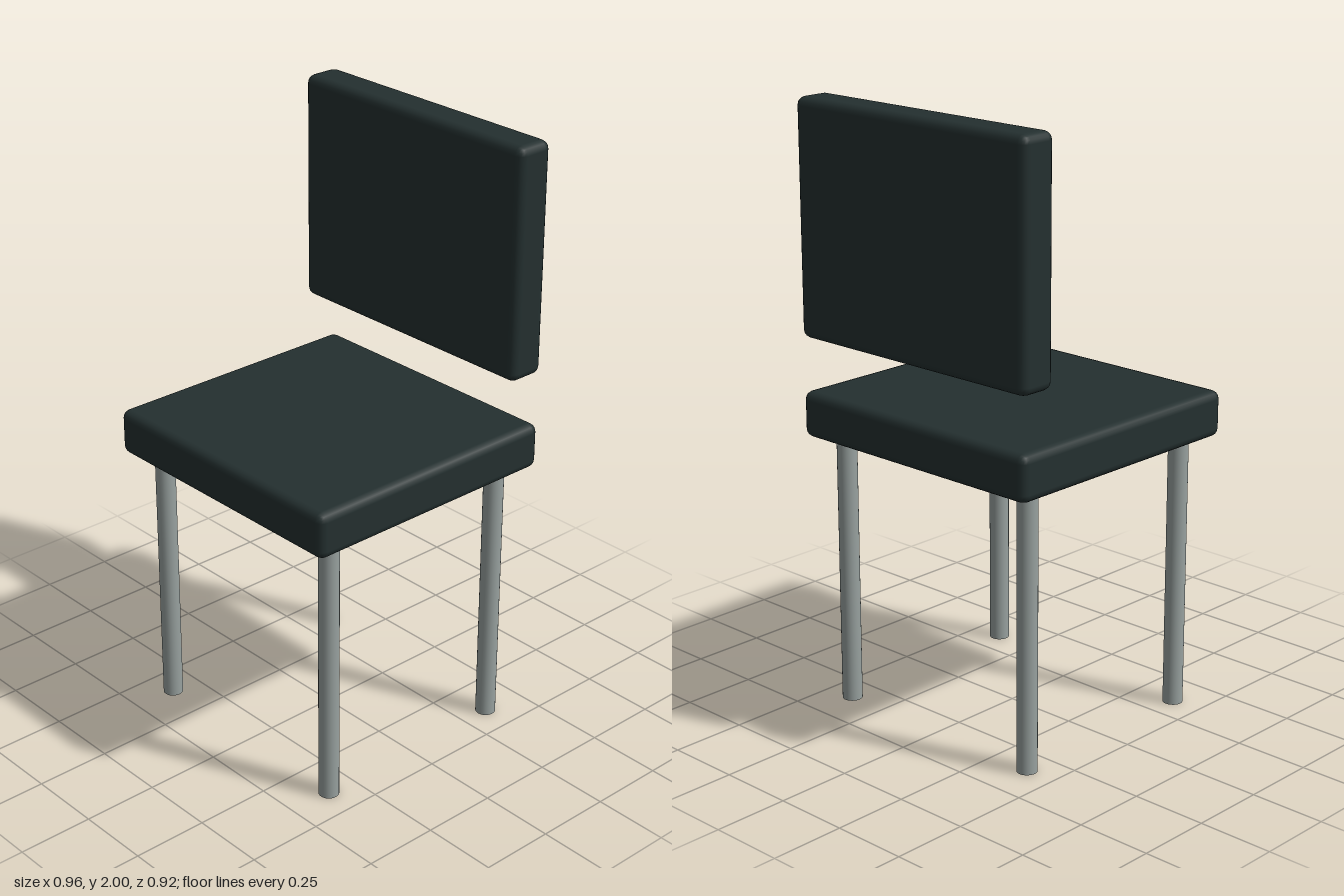
import * as THREE from 'three';
import { RoundedBoxGeometry } from 'three/addons/geometries/RoundedBoxGeometry.js';

export function createModel() {
  const chair = new THREE.Group();
  chair.name = 'chair';

  const upholstery = new THREE.MeshStandardMaterial({ color: 0x243030 });
  upholstery.name = 'dark upholstery';
  const metal = new THREE.MeshStandardMaterial({ color: 0x98a19f });
  metal.name = 'grey metal';

  // Softly rounded cushion between two heights and two depths
  const cushion = (name, y0, y1, z0, z1) => {
    const mesh = new THREE.Mesh(new RoundedBoxGeometry(0.96, y1 - y0, z1 - z0, 2, 0.028), upholstery);
    mesh.position.set(0, (y0 + y1) / 2, (z0 + z1) / 2);
    mesh.name = name;
    chair.add(mesh);
  };
  cushion('seat', 0.912, 1.064, -0.459, 0.459);
  cushion('backrest', 1.238, 2, -0.459, -0.329);

  // Four round legs, ending just inside the seat
  const legHeight = 0.93;
  const legGeometry = new THREE.CylinderGeometry(0.033, 0.033, legHeight, 24);
  for (const [end, z] of [['front', 0.351], ['back', -0.351]]) {
    for (const [side, x] of [['Left', 0.394], ['Right', -0.394]]) {
      const leg = new THREE.Mesh(legGeometry, metal);
      leg.position.set(x, legHeight / 2, z);
      leg.name = `${end}${side}Leg`;
      chair.add(leg);
    }
  }

  return chair;
}
